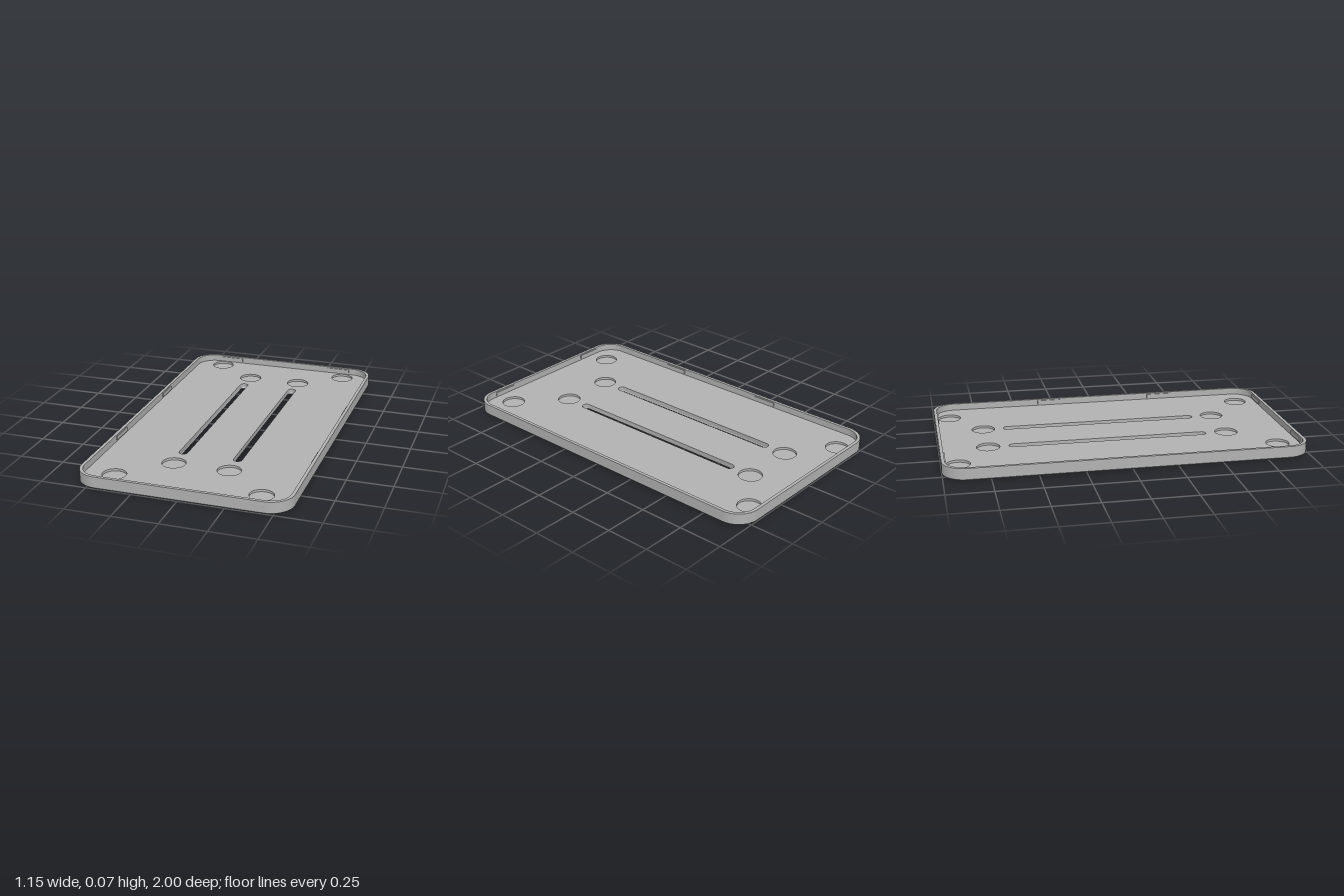
import * as THREE from 'three';
import { toCreasedNormals } from 'three/addons/utils/BufferGeometryUtils.js';

const W = 0.577, L = 1, H = 0.068; // half width, half length, height
const CORNER = 0.125, WALL = 0.018;
const CHAMFER = 0.007, POCKET_Y = 0.017, FLOOR_Y = 0.03;

// Rounded rectangle centred on (cx, cy); shape y is -z in the model
function roundedRect(target, hw, hl, r, cx = 0, cy = 0) {
  target.absarc(cx + hw - r, cy + hl - r, r, 0, Math.PI / 2);
  target.absarc(cx - hw + r, cy + hl - r, r, Math.PI / 2, Math.PI);
  target.absarc(cx - hw + r, cy - hl + r, r, Math.PI, Math.PI * 1.5);
  target.absarc(cx + hw - r, cy - hl + r, r, Math.PI * 1.5, Math.PI * 2);
  target.closePath();
  return target;
}

const outline = () => roundedRect(new THREE.Shape(), W, L, CORNER);

function slotHoles() {
  return [-1, 1].map((s) => roundedRect(new THREE.Path(), 0.024, 0.565, 0.0239, s * 0.155, 0.05));
}

// Round pockets as [x, z], mirrored left and right
function pocketHoles() {
  const holes = [];
  for (const [x, z] of [[0.155, -0.73], [0.155, 0.635], [0.4, -0.91], [0.4, 0.86]]) {
    for (const s of [-1, 1]) holes.push(new THREE.Path().absarc(s * x, -z, 0.065, 0, Math.PI * 2));
  }
  return holes;
}

// Horizontal slab between two heights
function slab(holes, y0, y1) {
  const shape = outline();
  shape.holes.push(...holes);
  const geo = new THREE.ExtrudeGeometry(shape, { depth: y1 - y0, bevelEnabled: false, curveSegments: 16 });
  geo.rotateX(-Math.PI / 2);
  geo.translate(0, y0, 0);
  return geo;
}

export function createModel() {
  const group = new THREE.Group();
  const grey = new THREE.MeshStandardMaterial({ color: 0xb2b2b2 });
  grey.name = 'grey plastic';

  const add = (name, geo) => {
    const mesh = new THREE.Mesh(toCreasedNormals(geo, 0.5), grey);
    mesh.name = name;
    group.add(mesh);
    return mesh;
  };

  // Chamfered underside: pull the lowest vertices inwards
  const bottom = slab(slotHoles(), 0, CHAMFER);
  const p = bottom.attributes.position;
  for (let i = 0; i < p.count; i++) {
    if (p.getY(i) < CHAMFER / 2) {
      p.setX(i, p.getX(i) * (1 - CHAMFER / W));
      p.setZ(i, p.getZ(i) * (1 - CHAMFER / L));
    }
  }
  add('chamferedBottom', bottom);

  // Floor layers: pocket bottoms, then the pierced floor
  add('pocketBase', slab(slotHoles(), CHAMFER, POCKET_Y));
  add('floor', slab([...slotHoles(), ...pocketHoles()], POCKET_Y, FLOOR_Y));

  // Raised rim
  const inner = roundedRect(new THREE.Path(), W - WALL, L - WALL, CORNER - WALL);
  add('rimWall', slab([inner], FLOOR_Y, H));

  // Small snap ridges on the inside of the rim
  const ridge = 0.006, ridgeLen = 0.14, ridgeH = 0.022, ridgeY = 0.05;
  for (const s of [-1, 1]) {
    for (const z of [-0.29, 0.4]) {
      add('sideClip', new THREE.BoxGeometry(ridge * 2, ridgeH, ridgeLen))
        .position.set(s * (W - WALL), ridgeY, z);
    }
    for (const x of [-0.358, 0.358]) {
      add('endClip', new THREE.BoxGeometry(ridgeLen, ridgeH, ridge * 2))
        .position.set(x, ridgeY, s * (L - WALL));
    }
  }
  return group;
}
